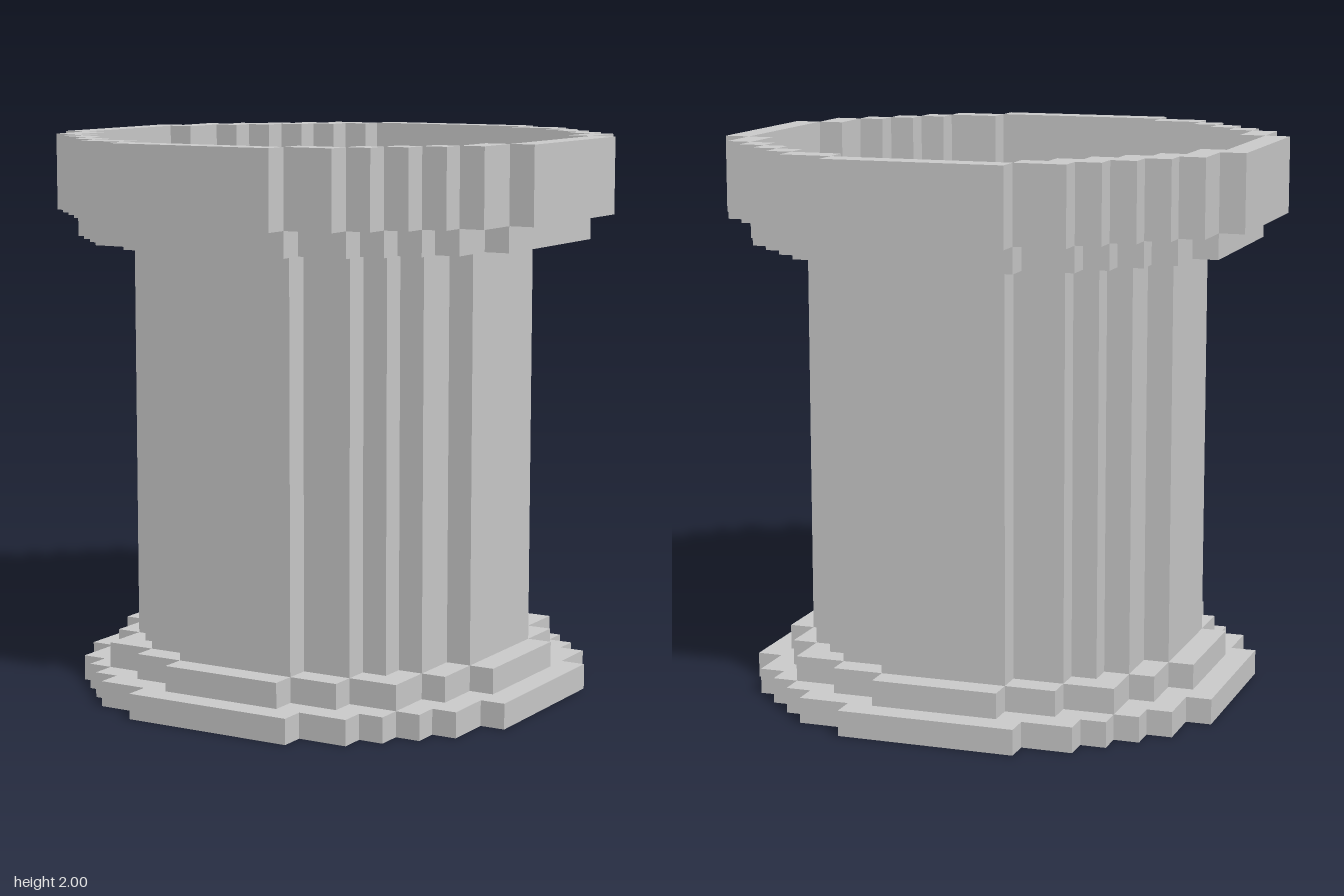
import * as THREE from 'three';
import { mergeGeometries } from 'three/addons/utils/BufferGeometryUtils.js';

const U = 1 / 11; // size of one block

// Half width, in blocks, of a blocky disc at row z
const halfWidth = (r, z) => Math.floor(Math.sqrt(r * r - z * z)) + 0.5;

// Stepped outline of a blocky disc
function discShape(r) {
  const n = Math.floor(r), pts = [];
  const step = (x, z) => {
    const last = pts[pts.length - 1];
    if (last && last.x === x * U) pts.pop(); // keep only the corners
    pts.push(new THREE.Vector2(x * U, z * U));
  };
  for (const side of [1, -1]) {
    for (let i = -n; i <= n; i++) {
      const z = i * side, x = side * halfWidth(r, z);
      const a = z - side / 2, b = z + side / 2;
      if (!pts.length || pts[pts.length - 1].x !== x * U) step(x, a);
      else { step(x, b); continue; }
      pts.push(new THREE.Vector2(x * U, b * U));
    }
  }
  return new THREE.Shape(pts);
}

function discGeometry(r, y0, y1) {
  const g = new THREE.ExtrudeGeometry(discShape(r), { depth: (y1 - y0) * U, bevelEnabled: false });
  return g.rotateX(Math.PI / 2).translate(0, y1 * U, 0);
}

// Raised rim: boxes along x for each run of equal rows
function rimGeometry(y0, y1) {
  const boxes = [];
  const addBox = (x0, x1, z0, z1) => boxes.push(
    new THREE.BoxGeometry((x1 - x0) * U, (y1 - y0) * U, (z1 - z0) * U)
      .translate((x0 + x1) / 2 * U, (y0 + y1) / 2 * U, (z0 + z1) / 2 * U));
  for (const side of [1, -1]) {
    const span = (z) => {
      // the back right quarter is one block thicker on the inside
      const thick = side < 0 && ((z >= -8 && z <= -5) || z === -3);
      return [halfWidth(9.5, z) - (thick ? 1 : 0), halfWidth(10.5, z)];
    };
    for (let z = -9; z <= 9;) {
      const [a, b] = span(z);
      let end = z + 1;
      while (end <= 9 && span(end)[0] === a && span(end)[1] === b) end++;
      addBox(Math.min(a * side, b * side), Math.max(a * side, b * side), z - 0.5, end - 0.5);
      z = end;
    }
    addBox(-3.5, 3.5, side * 10 - 0.5, side * 10 + 0.5);
  }
  return mergeGeometries(boxes);
}

export function createModel() {
  const group = new THREE.Group();
  const material = new THREE.MeshStandardMaterial({ color: 0xcccccc, flatShading: true });
  const add = (name, geometry) => {
    const mesh = new THREE.Mesh(geometry, material);
    mesh.name = name;
    group.add(mesh);
  };

  // Stacked blocky discs: name, radius, bottom and top in blocks
  const discs = [
    ['basePlate', 9.5, 0, 1],
    ['baseStep', 8.5, 1, 2],
    ['column', 7.5, 2, 18],
    ['bowlFloor', 9.5, 18, 19],
  ];
  for (const [name, r, y0, y1] of discs) add(name, discGeometry(r, y0, y1));
  add('bowlRim', rimGeometry(19, 22));
  return group;
}
